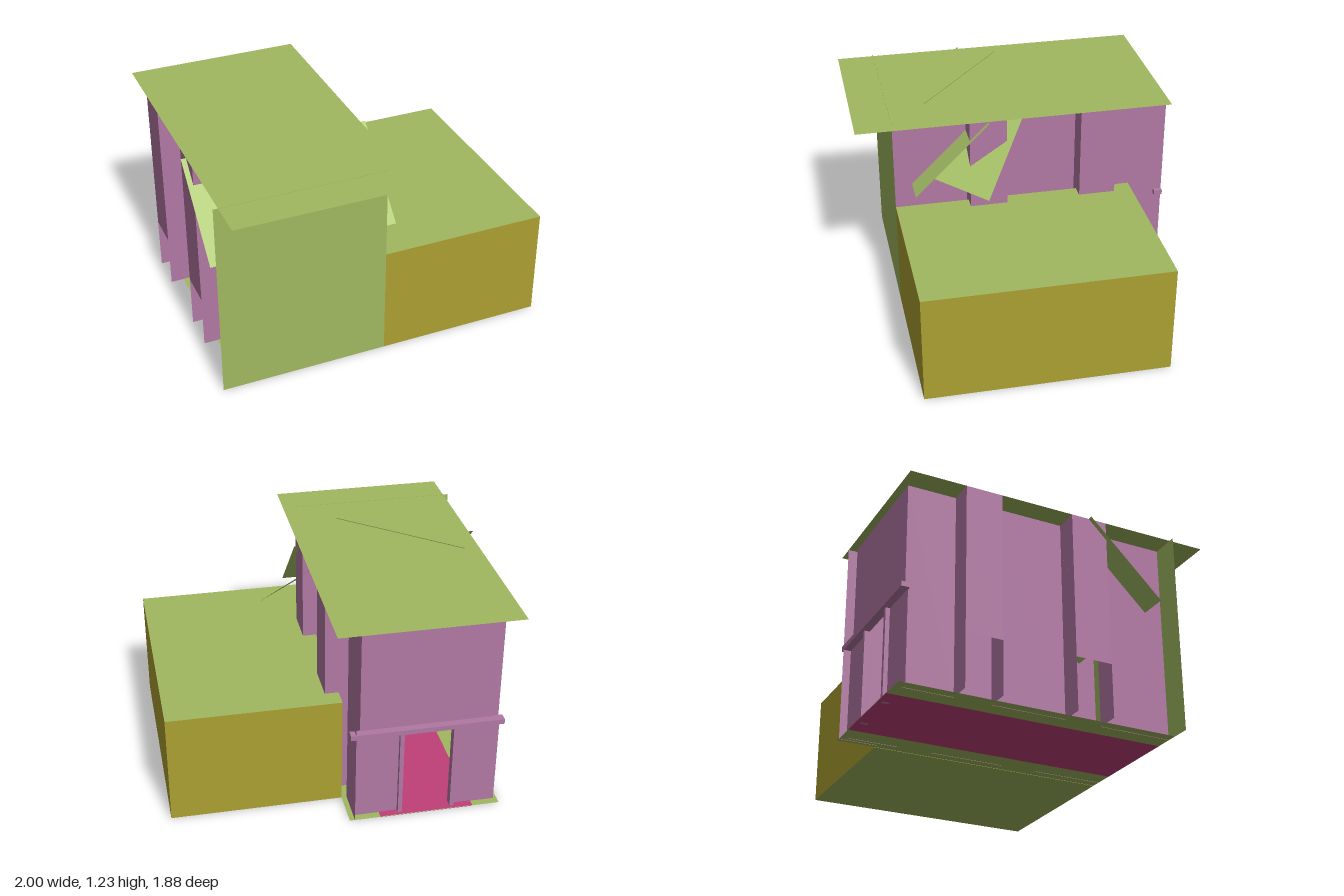
import * as THREE from 'three';

const paint = (color) => new THREE.MeshStandardMaterial({ color, side: THREE.DoubleSide, flatShading: true });

export function createModel() {
  const model = new THREE.Group();
  const green = paint(0xa0b860), leaf = paint(0xa8c468), ochre = paint(0xaca032);
  const purple = paint(0xb278a4), pink = paint(0xc04078);
  const middle = -0.445; // mirror line of the tall hall

  const add = (name, geometry, material, parent = model) => {
    const mesh = new THREE.Mesh(geometry, material);
    mesh.name = name;
    parent.add(mesh);
    return mesh;
  };
  // Flat sheet from corners in order around its edge
  const sheet = (name, corners, material, parent) => {
    const g = new THREE.BufferGeometry();
    g.setAttribute('position', new THREE.Float32BufferAttribute(corners.flat(), 3));
    g.setIndex(corners.length === 3 ? [0, 1, 2] : [0, 1, 2, 0, 2, 3]);
    g.computeVertexNormals();
    return add(name, g, material, parent);
  };
  // Sheets lying in each main plane
  const level = (name, y, x0, x1, z0, z1, m, p) =>
    sheet(name, [[x0, y, z1], [x1, y, z1], [x1, y, z0], [x0, y, z0]], m, p);
  const facing = (name, z, x0, x1, y0, y1, m, p) =>
    sheet(name, [[x0, y0, z], [x1, y0, z], [x1, y1, z], [x0, y1, z]], m, p);
  const sideways = (name, x, z0, z1, y0, y1, m, p) =>
    sheet(name, [[x, y0, z1], [x, y0, z0], [x, y1, z0], [x, y1, z1]], m, p);

  // Low wing: ochre walls, green top and underside
  const wing = add('lowWing', new THREE.BoxGeometry(1, 0.665, 1.44),
    [ochre, ochre, green, green, ochre, ochre]);
  wing.position.set(0.5, 0.3325, 0);

  // Hall floor, roof and front wall
  level('hallFloor', 0.002, -0.89, 0, -0.945, 0.72, green);
  level('aisleTop', 0.005, -0.73, -0.18, -0.945, 0.72, pink);
  level('aisleUnderside', 0, -0.73, -0.18, -0.945, 0.72, pink);
  level('roof', 1.22, -0.97, 0.08, -0.945, 0.94, green);
  facing('frontWall', 0.72, -1, 0, 0, 1.222, green);

  // Side walls with shallow bays, open at the foot between two fins
  for (const side of [-1, 1]) {
    const group = new THREE.Group();
    group.name = side > 0 ? 'leftSideWall' : 'rightSideWall';
    model.add(group);
    const inner = middle + side * 0.385, outer = middle + side * 0.525;
    for (const [z0, z1] of [[-0.9, -0.61], [-0.39, 0.056], [0.278, 0.72]])
      sideways('wallPanel', inner, z0, z1, 0, 1.22, purple, group);
    for (const [z0, z1] of [[-0.61, -0.39], [0.056, 0.278]]) {
      sideways('bayPanel', outer, z0, z1, 0.32, 1.22, purple, group);
      for (const z of [z0, z1])
        facing('fin', z, Math.min(inner, outer), Math.max(inner, outer), 0, 1.22, purple, group);
    }
  }

  // Back wall with a doorway and a ledge above it
  facing('upperBackWall', -0.9, -0.83, -0.06, 0.57, 1.22, purple);
  for (const [x0, x1] of [[-0.87, -0.61], [-0.3, -0.03]])
    facing('lowerBackWall', -0.9, x0, x1, 0, 0.57, purple);
  for (const x of [-0.61, -0.3]) {
    const post = add('doorPost', new THREE.BoxGeometry(0.025, 0.56, 0.05), purple);
    post.position.set(x, 0.28, -0.9);
  }
  const ledge = add('doorLedge', new THREE.BoxGeometry(0.885, 0.03, 0.05), purple);
  ledge.position.set(-0.4425, 0.57, -0.92);
  sideways('cornerFin', -0.03, -0.945, -0.72, 0, 1.22, purple);

  // Sloping sheets that run through the hall
  sheet('slopingSheet',
    [[-1, 0.78, 0.61], [0.11, 0.78, 0.61], [0.11, 1.22, 0.165], [-1, 1.22, 0.165]], leaf);
  sheet('turnedSheet',
    [[0.33, 0.84, 0.213], [-0.01, 1.219, -0.07], [-0.56, 1.219, 0.4], [-0.22, 0.84, 0.683]], leaf);
  sheet('crossSheet',
    [[-0.88, 1.225, -0.06], [-0.22, 1.225, 0.5], [-0.25, 0.86, 0.62], [-0.91, 0.86, 0.06]], leaf);

  return model;
}
